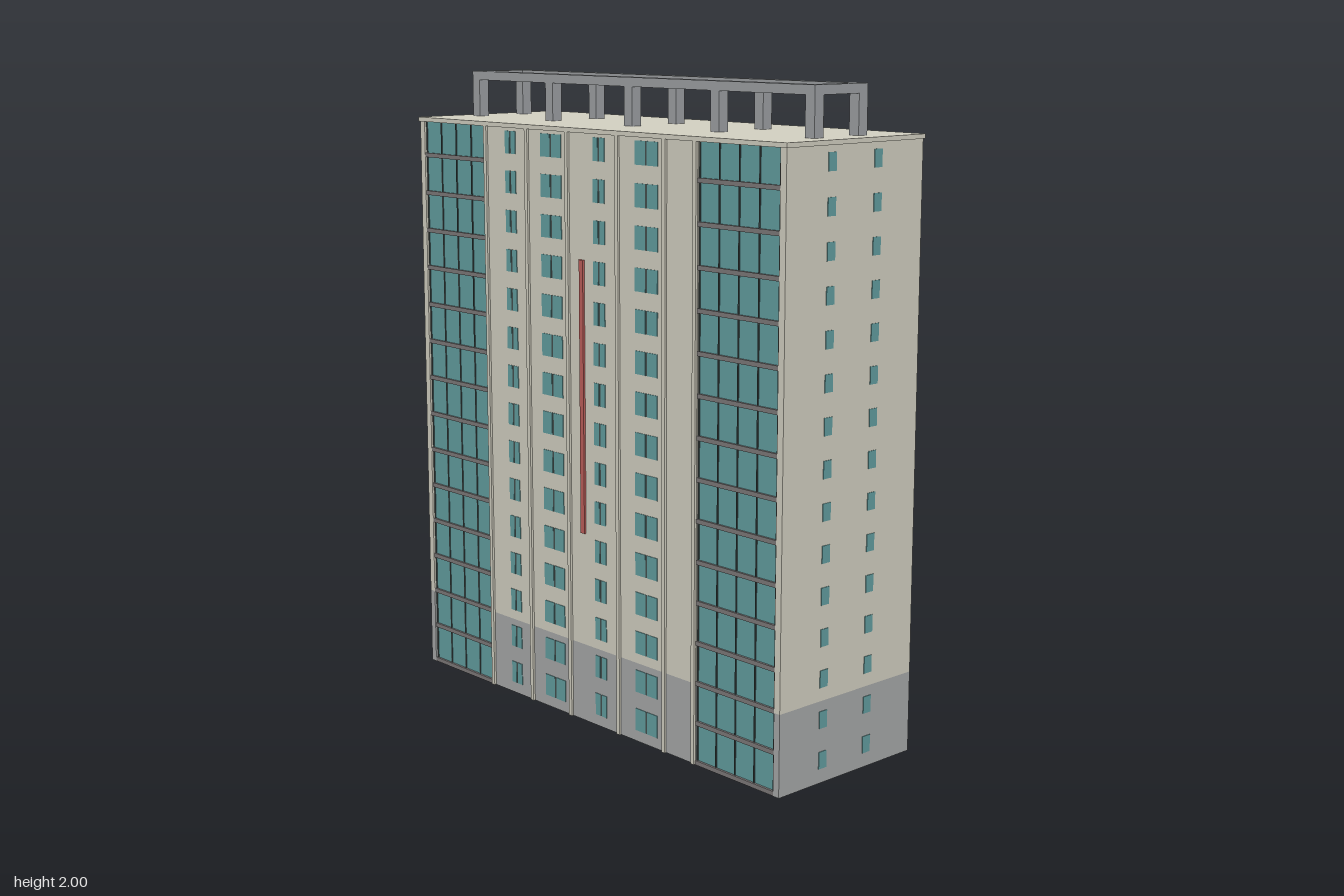
import * as THREE from 'three';

const mat = (name, color) => Object.assign(new THREE.MeshStandardMaterial({ color }), { name });

export function createModel() {
  const wall = mat('cream wall', 0xd6d3c4);
  const plinth = mat('grey plinth', 0xa9abab);
  const glass = mat('teal glass', 0x64a0a2);
  const steel = mat('roof frame grey', 0xa0a3a6);
  const trim = mat('balcony trim', 0x7f7b7b);
  const dark = mat('dark mullion', 0x45504f);
  const red = mat('red stripe', 0xc0605c);

  const model = new THREE.Group();
  model.name = 'towerBlock';
  const tower = new THREE.Group();
  tower.name = 'tower';
  tower.rotation.y = -0.591;
  model.add(tower);

  // box given by its limits on each axis
  const box = (parent, name, material, x0, x1, y0, y1, z0, z1) => {
    const m = new THREE.Mesh(new THREE.BoxGeometry(x1 - x0, y1 - y0, z1 - z0), material);
    m.position.set((x0 + x1) / 2, (y0 + y1) / 2, (z0 + z1) / 2);
    m.name = name;
    parent.add(m);
    return m;
  };
  // wall section: grey below, cream above
  const BASE = 0.25, TOP = 1.84, FLOORS = 15, STEP = 0.1232;
  const section = (parent, name, x0, x1, z0, z1) => {
    box(parent, name + 'Plinth', plinth, x0, x1, 0, BASE, z0, z1);
    box(parent, name, wall, x0, x1, BASE, TOP, z0, z1);
  };

  // core and roof slab
  const HX = 0.831, HZ = 0.279, INNER = 0.266;
  section(tower, 'core', -HX, HX, -INNER, INNER);
  box(tower, 'roofSlab', wall, -0.835, 0.835, TOP, 1.854, -0.283, 0.283);

  // long facade, repeated on both sides by a half turn
  const facade = (name, turn) => {
    const g = new THREE.Group();
    g.name = name;
    g.rotation.y = turn;
    tower.add(g);
    section(g, 'middleWall', -0.485, 0.485, INNER, HZ - 0.004);
    for (const s of [-1, 1]) {
      const span = (a, b) => (s > 0 ? [a, b] : [-b, -a]);
      section(g, 'cornerPost', ...span(0.808, HX), INNER, HZ);
      // glazed balconies
      const [a, b] = span(0.485, 0.808);
      box(g, 'balconyGlass', glass, a, b, 0, TOP, INNER, INNER + 0.005);
      for (let f = 0; f < FLOORS; f++) {
        box(g, 'balconyBand', trim, a, b, f * STEP, f * STEP + 0.014, INNER, HZ - 0.001);
      }
      for (let i = 0; i <= 4; i++) {
        const x = a + 0.004 + (b - a - 0.008) * i / 4;
        box(g, 'balconyMullion', dark, x - 0.002, x + 0.002, 0, TOP, INNER, INNER + 0.008);
      }
    }
    // slender pilasters
    for (const x of [-0.485, -0.28, -0.087, 0.142, 0.347, 0.475]) {
      box(g, 'pilaster', wall, x - 0.007, x + 0.007, 0, TOP, HZ - 0.008, HZ + 0.003);
    }
    // window columns: centre, pane width
    for (const [x, w] of [[-0.363, 0.022], [-0.166, 0.045], [0.057, 0.022], [0.267, 0.045]]) {
      for (let f = 0; f < FLOORS; f++) {
        const y = 0.07 + f * STEP, z = HZ - 0.004;
        for (const s of [-1, 1]) {
          const c = x + s * (w / 2 + 0.004);
          box(g, 'windowPane', glass, c - w / 2, c + w / 2, y - 0.035, y + 0.035, z, z + 0.002);
        }
        box(g, 'windowMullion', dark, x - 0.004, x + 0.004, y - 0.035, y + 0.035, z, z + 0.001);
      }
    }
    box(g, 'redStripe', red, -0.03, -0.012, 0.61, 1.46, HZ - 0.004, HZ + 0.003);
  };
  facade('frontFacade', 0);
  facade('backFacade', Math.PI);

  // end walls: two columns of small windows
  for (const s of [-1, 1]) {
    for (const z of [-0.088, 0.1]) {
      for (let f = 0; f < FLOORS; f++) {
        const y = 0.07 + f * STEP, x = s * (HX + 0.001), c = s * z;
        box(tower, 'endWindow', glass, x - 0.001, x + 0.001, y - 0.026, y + 0.026, c - 0.016, c + 0.016);
      }
    }
  }

  // open frame on the roof
  const frame = new THREE.Group();
  frame.name = 'roofFrame';
  tower.add(frame);
  const FX = 0.77, FZ = 0.108, BAR = 0.036;
  for (const s of [-1, 1]) {
    const zs = s > 0 ? [FZ - BAR, FZ] : [-FZ, BAR - FZ];
    const xs = s > 0 ? [FX - BAR, FX] : [-FX, BAR - FX];
    box(frame, 'longBeam', steel, -FX, FX, 1.972, 2, ...zs);
    box(frame, 'endBeam', steel, ...xs, 1.972, 2, BAR - FZ, FZ - BAR);
    for (let i = -2; i <= 2; i++) {
      const x = i * 0.376;
      box(frame, 'framePost', steel, x - 0.018, x + 0.018, 1.854, 1.972, ...zs);
    }
  }
  return model;
}
